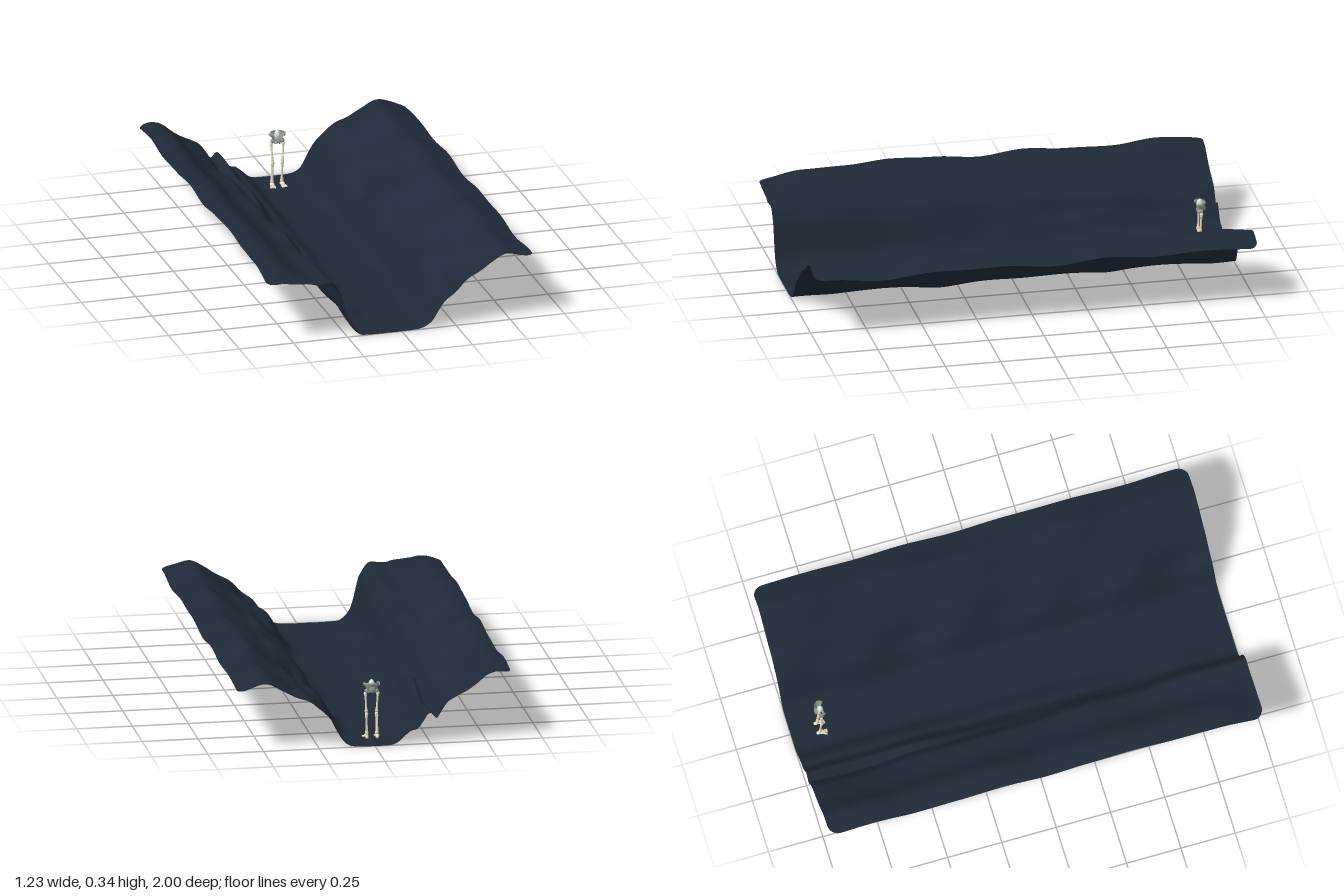
import * as THREE from 'three';

const { smoothstep, lerp, clamp } = THREE.MathUtils;
const HALF_X = 0.613, CORNER = 0.05;

// Valley cross-section: x, lowest height, highest height along the length
const PROFILE = [
  [-0.62, 0.268, 0.325], [-0.55, 0.275, 0.338], [-0.5, 0.265, 0.322], [-0.45, 0.24, 0.287],
  [-0.4, 0.215, 0.262], [-0.36, 0.19, 0.264], [-0.32, 0.16, 0.264], [-0.28, 0.10, 0.215],
  [-0.25, 0.065, 0.165], [-0.22, 0.03, 0.115], [-0.19, 0.006, 0.076], [-0.16, 0.002, 0.067],
  [-0.13, 0.001, 0.042], [-0.1, 0, 0.014], [-0.05, 0, 0.002], [0.05, 0, 0.002],
  [0.1, 0.001, 0.016], [0.14, 0.01, 0.06], [0.17, 0.05, 0.118], [0.2, 0.09, 0.165],
  [0.25, 0.122, 0.212], [0.3, 0.185, 0.24], [0.36, 0.23, 0.255], [0.42, 0.262, 0.3],
  [0.48, 0.292, 0.33], [0.55, 0.283, 0.312], [0.62, 0.267, 0.294],
];

// Height of the right-hand rim from back to front, 0 low to 1 high
const RIM = [0.65, 0.9, 0.55, 0.65, 0.9, 0.55, 0.85, 1, 0.75, 0.7, 0.15];

// Smooth interpolation of one profile column
function profileAt(x, col) {
  let i = 0;
  while (i < PROFILE.length - 2 && x > PROFILE[i + 1][0]) i++;
  const a = PROFILE[i], b = PROFILE[i + 1];
  const t = clamp((x - a[0]) / (b[0] - a[0]), 0, 1);
  const slope = (k) => {
    const p = PROFILE[Math.max(k - 1, 0)], n = PROFILE[Math.min(k + 1, PROFILE.length - 1)];
    return (n[col] - p[col]) / (n[0] - p[0]);
  };
  const h = b[0] - a[0], t2 = t * t, t3 = t2 * t;
  return (2 * t3 - 3 * t2 + 1) * a[col] + (t3 - 2 * t2 + t) * h * slope(i)
    + (3 * t2 - 2 * t3) * b[col] + (t3 - t2) * h * slope(i + 1);
}

function rimAt(z) {
  const u = clamp((z + 1) * 5, 0, 9.999), i = Math.floor(u);
  return lerp(RIM[i], RIM[i + 1], smoothstep(u - i, 0, 1));
}

// Rolling ground: drifts between the low and high profile
function heightAt(x, z) {
  let t = 0.5 + 0.24 * Math.sin(9.5 * z + 6 * x + 1.2)
    + 0.2 * Math.sin(15.5 * z - 11 * x + 0.4) + 0.13 * Math.sin(5.1 * z + 17 * x + 2.1);
  const ramp = Math.sin(z * Math.PI / 2), ripple = 0.35 * (t - 0.5);
  // the left-hand rim falls away at the back corner
  t = lerp(t, 0.1, smoothstep(x, 0.5, 0.6) * smoothstep(-z, 0.8, 1));
  // right-hand wall: the shelf rises toward the front, the foot toward the back
  t = lerp(t, 0.5 + 0.38 * ramp + ripple, 1 - smoothstep(x, -0.28, -0.23));
  const foot = smoothstep(x, -0.28, -0.23) * (1 - smoothstep(x, -0.12, -0.05));
  t = lerp(t, 0.5 - 0.45 * ramp + ripple, foot);
  t = lerp(t, rimAt(z), 1 - smoothstep(x, -0.52, -0.4));
  return Math.max(0, lerp(profileAt(x, 1), profileAt(x, 2), clamp(t, 0, 1)));
}

function makeValley() {
  const geo = new THREE.PlaneGeometry(2, 2, 120, 180).rotateX(-Math.PI / 2);
  const pos = geo.attributes.position;
  for (let i = 0; i < pos.count; i++) {
    // rows crowd toward both ends so the rounded corners stay smooth
    const z = Math.sin(pos.getZ(i) * Math.PI / 2);
    const d = Math.max(0, Math.abs(z) - (1 - CORNER));
    const width = HALF_X - CORNER + Math.sqrt(Math.max(0, CORNER * CORNER - d * d));
    const x = pos.getX(i) * width;
    pos.setXYZ(i, x, heightAt(x, z), z);
  }
  geo.computeVertexNormals();
  const mat = new THREE.MeshStandardMaterial({ color: 0x1f2937, side: THREE.DoubleSide });
  const mesh = new THREE.Mesh(geo, mat);
  mesh.name = 'valleyGround';
  return mesh;
}

const boneMat = new THREE.MeshStandardMaterial({ color: 0xeee2c4 });
const pelvisMat = new THREE.MeshStandardMaterial({ color: 0x8f9a90, side: THREE.DoubleSide });
const eggMat = new THREE.MeshStandardMaterial({ color: 0xdde6d6 });

// Ellipsoid
function blob(parent, name, mat, p, s, rot = [0, 0, 0]) {
  const m = new THREE.Mesh(new THREE.SphereGeometry(1, 16, 12), mat);
  m.name = name;
  m.position.set(...p);
  m.scale.set(...s);
  m.rotation.set(...rot);
  parent.add(m);
}

// Long bone with knobbed ends, between two points
function bone(parent, name, from, to, r) {
  const a = new THREE.Vector3(...from), b = new THREE.Vector3(...to);
  const len = a.distanceTo(b);
  const pts = [[0, 0], [1.2, 0.01], [1.6, 0.05], [1.3, 0.12], [0.95, 0.25], [0.85, 0.5],
    [0.95, 0.75], [1.3, 0.88], [1.6, 0.95], [1.2, 0.99], [0, 1]]
    .map(([u, v]) => new THREE.Vector2(u * r, v * len));
  const m = new THREE.Mesh(new THREE.LatheGeometry(pts, 12), boneMat);
  m.name = name;
  m.position.copy(a);
  m.quaternion.setFromUnitVectors(new THREE.Vector3(0, 1, 0), b.sub(a).normalize());
  parent.add(m);
}

function makeLeg(side) {
  const leg = new THREE.Group();
  leg.name = side > 0 ? 'leftLeg' : 'rightLeg';
  bone(leg, 'thighBone', [side * 0.023, 0.118, 0.003], [side * 0.028, 0.21, -0.002], 0.005);
  bone(leg, 'shinBone', [side * 0.022, 0.018, -0.006], [side * 0.022, 0.117, 0.002], 0.005);
  bone(leg, 'calfBone', [side * 0.027, 0.02, -0.008], [side * 0.026, 0.108, -0.002], 0.0024);
  blob(leg, 'kneeCap', boneMat, [side * 0.023, 0.118, 0.008], [0.005, 0.006, 0.004]);
  blob(leg, 'hipJoint', boneMat, [side * 0.027, 0.208, -0.002], [0.007, 0.006, 0.007]);
  // foot: heel, arch and toes
  blob(leg, 'heel', boneMat, [side * 0.023, 0.008, -0.013], [0.008, 0.008, 0.01]);
  blob(leg, 'arch', boneMat, [side * 0.024, 0.011, 0.004], [0.01, 0.008, 0.017], [0.3, 0, 0]);
  for (let i = 0; i < 5; i++) {
    const x = side * (0.016 + i * 0.0048);
    blob(leg, 'toe', boneMat, [x, 0.005, 0.021 - i * 0.0014], [0.0028, 0.004, 0.011], [0.2, side * 0.1 * i, 0]);
  }
  return leg;
}

function makePelvis() {
  const g = new THREE.Group();
  g.name = 'pelvis';
  // flared bowl, open at the front
  const flare = [[0.018, 0.211], [0.021, 0.221], [0.026, 0.232], [0.033, 0.246], [0.034, 0.252], [0.031, 0.256]]
    .map(([r, y]) => new THREE.Vector2(r, y));
  const bowl = new THREE.Mesh(new THREE.LatheGeometry(flare, 28, 0.9, 2 * Math.PI - 1.8), pelvisMat);
  bowl.name = 'hipBowl';
  bowl.scale.z = 0.76;
  g.add(bowl);
  for (const s of [-1, 1]) {
    blob(g, 'hipCrest', pelvisMat, [s * 0.032, 0.246, 0.006], [0.0035, 0.009, 0.016], [0, -s * 0.25, -s * 0.3]);
    blob(g, 'hipSocket', pelvisMat, [s * 0.022, 0.216, 0], [0.01, 0.01, 0.011]);
    const ring = new THREE.Mesh(new THREE.TorusGeometry(0.008, 0.0025, 8, 18), pelvisMat);
    ring.name = 'lowerRing';
    ring.position.set(s * 0.01, 0.213, 0.009);
    ring.rotation.y = s * 0.4;
    g.add(ring);
  }
  blob(g, 'sacrum', pelvisMat, [0, 0.231, -0.018], [0.014, 0.02, 0.006], [0.2, 0, 0]);
  blob(g, 'pubicBridge', pelvisMat, [0, 0.216, 0.013], [0.016, 0.005, 0.004]);
  return g;
}

export function createModel() {
  const model = new THREE.Group();
  model.name = 'valleyScene';
  model.add(makeValley());

  // Standing bone figure near the back end of the valley
  const figure = new THREE.Group();
  figure.name = 'boneFigure';
  figure.add(makeLeg(1), makeLeg(-1), makePelvis());
  blob(figure, 'egg', eggMat, [0, 0.243, 0.001], [0.014, 0.025, 0.014]);
  figure.position.set(-0.007, 0.001, -0.868);
  model.add(figure);
  return model;
}
